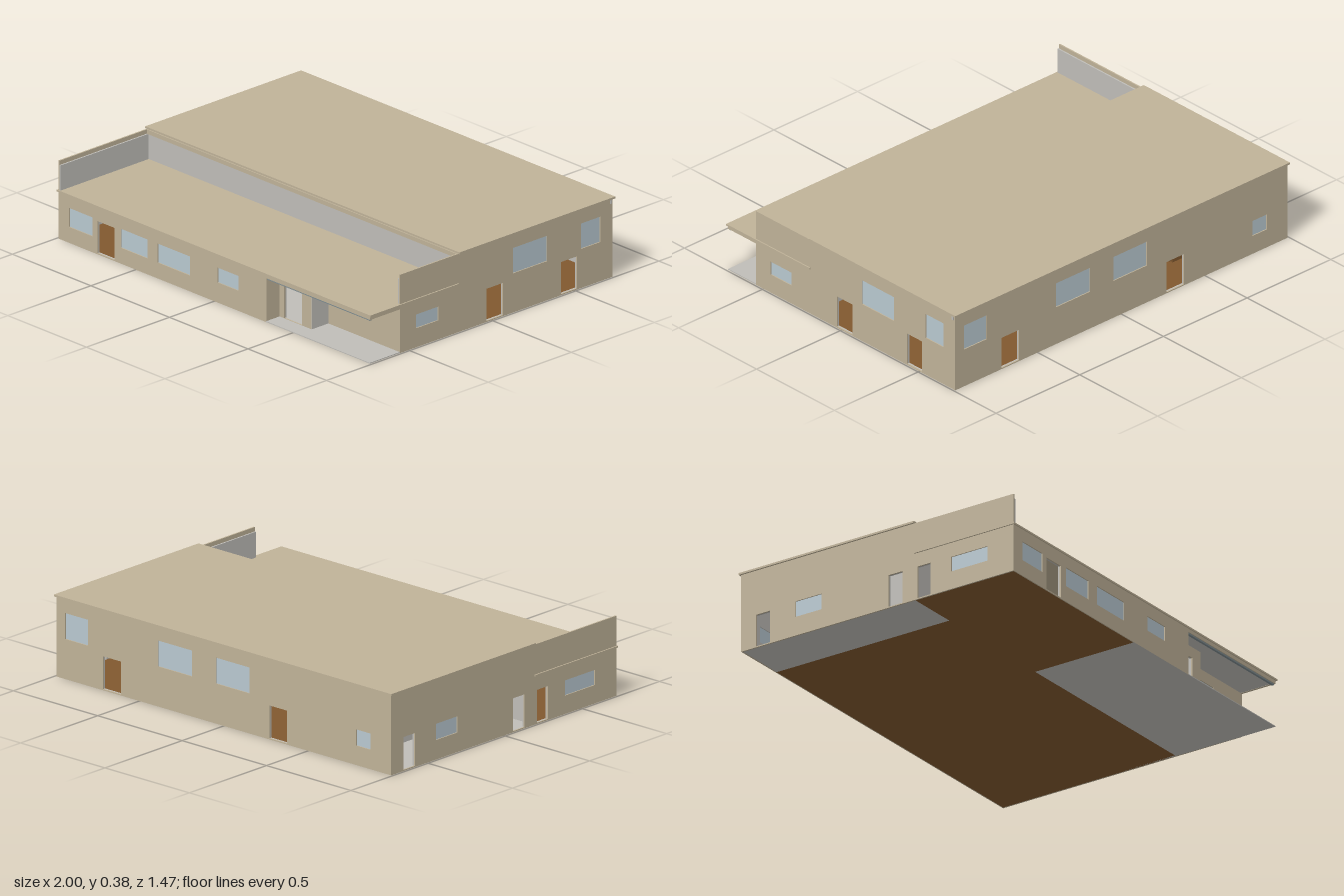
import * as THREE from 'three';

const mat = (name, color, side = THREE.FrontSide) => {
  const m = new THREE.MeshStandardMaterial({ color, side });
  m.name = name;
  return m;
};

export function createModel() {
  const model = new THREE.Group();
  model.name = 'hall';
  const tan = mat('tan wall', 0xbfb298);
  const gray = mat('pale gray', 0xbfbdb8);
  const blue = mat('window glass', 0xb8c8d0);
  const brown = mat('brown wood', 0x80582f);
  const red = mat('dark red curtain', 0x5c0e12);
  const slate = mat('slate trim', 0x7f8c90);

  // Box given by its lower and upper limits on each axis
  const box = (name, m, [x0, x1], [y0, y1], [z0, z1], parent = model) => {
    const mesh = new THREE.Mesh(new THREE.BoxGeometry(x1 - x0, y1 - y0, z1 - z0), m);
    mesh.position.set((x0 + x1) / 2, (y0 + y1) / 2, (z0 + z1) / 2);
    mesh.name = name;
    parent.add(mesh);
    return mesh;
  };

  // Wall with a tan outer skin and a gray lining, facing local +z.
  // Openings are [u0, u1, y0, y1]; doors stay open, windows get a pane.
  const T = 0.007;
  const wall = (name, angle, offset, u0, u1, top, liningTop, doors, windows) => {
    const g = new THREE.Group();
    g.name = name;
    g.rotation.y = angle;
    const layer = (label, m, h, z) => {
      const s = new THREE.Shape([[u0, 0], [u1, 0], [u1, h], [u0, h]].map(p => new THREE.Vector2(...p)));
      for (const [a, b, c, d] of [...doors, ...windows]) {
        s.holes.push(new THREE.Path([[a, c], [a, d], [b, d], [b, c]].map(p => new THREE.Vector2(...p))));
      }
      const mesh = new THREE.Mesh(new THREE.ExtrudeGeometry(s, { depth: T, bevelEnabled: false }), m);
      mesh.position.z = z;
      mesh.name = label;
      g.add(mesh);
    };
    layer('outer skin', tan, top, offset - T);
    layer('inner lining', gray, liningTop, offset - 2 * T);
    for (const [a, b, c, d] of windows) {
      box('window pane', blue, [a, b], [c, d], [offset - 0.01, offset - 0.005], g);
    }
    model.add(g);
  };
  const door = (a, b) => [a, b, 0.005, 0.157];

  // Floors
  box('auditorium floor', brown, [-0.73, 0.985], [0, 0.004], [-0.725, 0.2]);
  box('front room floor', brown, [-0.985, -0.08], [0, 0.004], [0.2, 0.725]);
  box('lobby and porch floor', gray, [-0.08, 0.99], [0, 0.004], [0.2, 0.73]);
  box('back room floor', gray, [-0.985, -0.73], [0, 0.004], [-0.725, 0.2]);

  // Outer walls
  wall('frontWall', 0, 0.73, -0.985, 0.33, 0.224, 0.222,
    [door(-0.745, -0.635)],
    [[-0.925, -0.775, 0.075, 0.165], [-0.595, -0.425, 0.075, 0.165],
      [-0.36, -0.155, 0.075, 0.165], [0.02, 0.155, 0.095, 0.165]]);
  wall('backWall', Math.PI, 0.73, -0.985, 0.985, 0.37, 0.35,
    [door(-0.717, -0.61), door(0.27, 0.375)],
    [[-0.94, -0.805, 0.185, 0.305], [-0.39, -0.187, 0.185, 0.305],
      [-0.047, 0.153, 0.185, 0.305], [0.785, 0.87, 0.09, 0.165]]);
  wall('rightSideWall', Math.PI / 2, 0.992, -0.5495, 0.7295, 0.37, 0.35,
    [door(-0.03, 0.07), door(0.42, 0.515)],
    [[-0.455, -0.32, 0.09, 0.155], [0.13, 0.335, 0.185, 0.305], [0.54, 0.655, 0.185, 0.305]]);
  wall('leftSideWall', -Math.PI / 2, 0.992, -0.7295, 0.7295, 0.37, 0.35,
    [door(-0.65, -0.575), door(0.06, 0.135), door(0.215, 0.285)],
    [[-0.44, -0.3, 0.09, 0.165], [0.395, 0.59, 0.085, 0.155]]);

  // Recessed porch in the front corner
  wall('porchDoorWall', 0, 0.65, 0.33, 0.535, 0.21, 0.208, [door(0.36, 0.475)], []);
  wall('porchBackWall', 0, 0.55, 0.535, 0.985, 0.21, 0.208, [], [[0.635, 0.775, 0.11, 0.155]]);
  box('porch side wall', tan, [0.318, 0.3302], [0, 0.21], [0.64, 0.7295]);
  box('porch return wall', gray, [0.526, 0.5355], [0.004, 0.208], [0.54, 0.6495]);
  box('porch soffit', gray, [0.33, 0.985], [0.208, 0.222], [0.55, 0.725]);
  box('porch front fascia', tan, [0.33, 0.992], [0.207, 0.224], [0.72, 0.73]);
  box('porch side fascia', tan, [0.982, 0.992], [0.207, 0.224], [0.55, 0.725]);
  box('porch trim', slate, [0.33, 0.985], [0.2, 0.207], [0.715, 0.726]);

  // Inside partitions, dividing the high hall from the low front rooms
  box('cross partition', gray, [-0.978, 0.978], [0.004, 0.35], [0.188, 0.2]);
  box('cross partition cap', tan, [-0.985, 0.985], [0.35, 0.37], [0.186, 0.205]);
  box('back room partition', gray, [-0.74, -0.73], [0.004, 0.36], [-0.716, 0.188]);

  // Stage with curtain, two flights of steps and a lectern
  box('stage', brown, [-0.729, -0.55], [0.004, 0.06], [-0.715, 0.187]);
  box('curtain', red, [-0.729, -0.722], [0.06, 0.36], [-0.715, 0.187]);
  for (const z of [-0.52, 0]) {
    for (let i = 0; i < 4; i++) {
      box('stage step', brown, [-0.55, -0.47 + i * 0.02], [0.004 + i * 0.012, 0.016 + i * 0.012], [z - 0.033, z + 0.033]);
    }
  }
  box('lectern', brown, [-0.62, -0.6], [0.06, 0.1], [0.005, 0.03]);

  // Roofs
  box('ceiling', gray, [-0.978, 0.978], [0.36, 0.368], [-0.716, 0.186]);
  box('high roof', tan, [-1, 1], [0.37, 0.379], [-0.738, 0.2]);
  box('low roof', tan, [-0.998, 0.998], [0.223, 0.231], [0.2, 0.735]);
  box('rain outlet', gray, [0.99, 0.997], [0.35, 0.37], [-0.722, -0.712]);

  return model;
}
